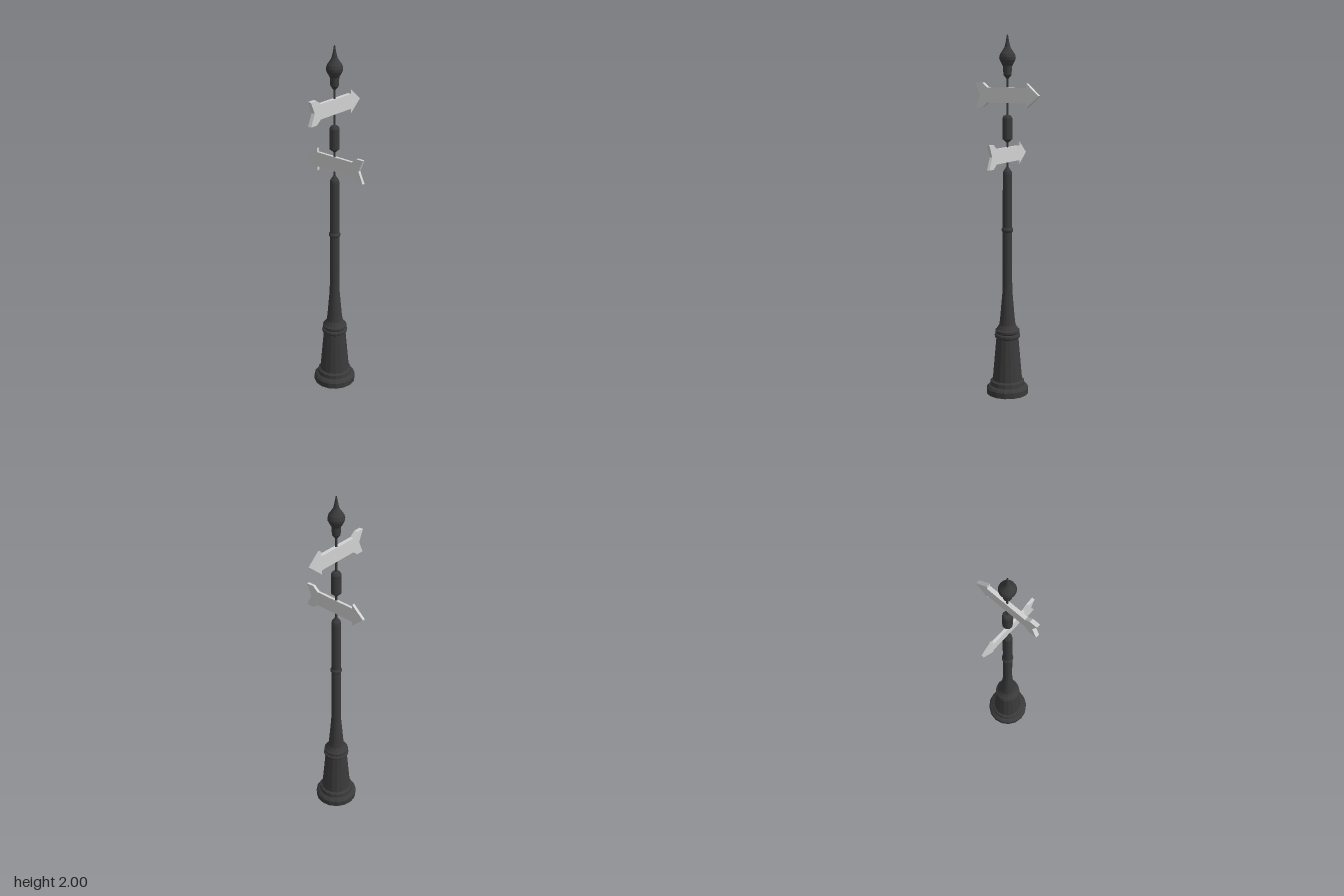
import * as THREE from 'three';

const SIDES = 16;
const POLE_X = -0.005;

export function createModel() {
  const group = new THREE.Group();
  const iron = new THREE.MeshStandardMaterial({ color: 0x3a3a3a, flatShading: true, side: THREE.DoubleSide });
  iron.name = 'dark iron';
  const sign = new THREE.MeshStandardMaterial({ color: 0xd2d2d2, flatShading: true });
  sign.name = 'light grey sign';

  // Turned part from [radius, height] pairs, listed bottom to top
  function turned(name, profile) {
    const points = profile.map(([r, y]) => new THREE.Vector2(r, y));
    const mesh = new THREE.Mesh(new THREE.LatheGeometry(points, SIDES), iron);
    mesh.name = name;
    mesh.position.x = POLE_X;
    group.add(mesh);
  }

  // Stepped, open-bottomed base with a tapering pedestal
  turned('pedestal', [
    [0.119, 0], [0.119, 0.032], [0.108, 0.045], [0.099, 0.05], [0.096, 0.072],
    [0.084, 0.08], [0.063, 0.322], [0.071, 0.328], [0.073, 0.337], [0.071, 0.346],
    [0.064, 0.35], [0.069, 0.357], [0.069, 0.369], [0.06, 0.377],
  ]);
  // Flared column with a cone cap
  turned('column', [
    [0.06, 0.377], [0.046, 0.4], [0.042, 0.43], [0.036, 0.5], [0.029, 0.58],
    [0.027, 0.64], [0.026, 1.25], [0.024, 1.265], [0.007, 1.29],
  ]);
  turned('columnRing', [
    [0.026, 0.928], [0.032, 0.936], [0.032, 0.946], [0.026, 0.954],
  ]);
  // Thin rod that carries the signs
  turned('rod', [[0.006, 1.28], [0.006, 1.78]]);
  turned('spacer', [
    [0.006, 1.425], [0.027, 1.443], [0.027, 1.557], [0.02, 1.57], [0.006, 1.575],
  ]);
  // Bulb and spike on top
  turned('finial', [
    [0.006, 1.768], [0.022, 1.788], [0.025, 1.835], [0.031, 1.845], [0.043, 1.868],
    [0.045, 1.882], [0.04, 1.9], [0.026, 1.92], [0.016, 1.936], [0.009, 1.965], [0.003, 2],
  ]);

  // Arrow sign pointing to -x, with a notched, flared tail
  function arrow(name, thickness) {
    const half = [[-0.122, 0.065], [-0.122, 0.041], [0.121, 0.041], [0.152, 0.066], [0.196, 0.066]];
    const outline = [
      [-0.196, 0], ...half, [0.167, 0],
      ...half.map(([x, y]) => [x, -y]).reverse(),
    ].map(([x, y]) => new THREE.Vector2(x, y));
    const geometry = new THREE.ExtrudeGeometry(new THREE.Shape(outline), { depth: thickness, bevelEnabled: false });
    geometry.translate(0, 0, -thickness / 2);
    const mesh = new THREE.Mesh(geometry, sign);
    mesh.name = name;
    group.add(mesh);
    return mesh;
  }

  const lower = arrow('lowerArrow', 0.016);
  lower.position.set(0, 1.358, 0);

  const upper = arrow('upperArrow', 0.022);
  upper.position.set(POLE_X, 1.679, 0);
  upper.rotation.y = -Math.PI / 2;

  return group;
}
